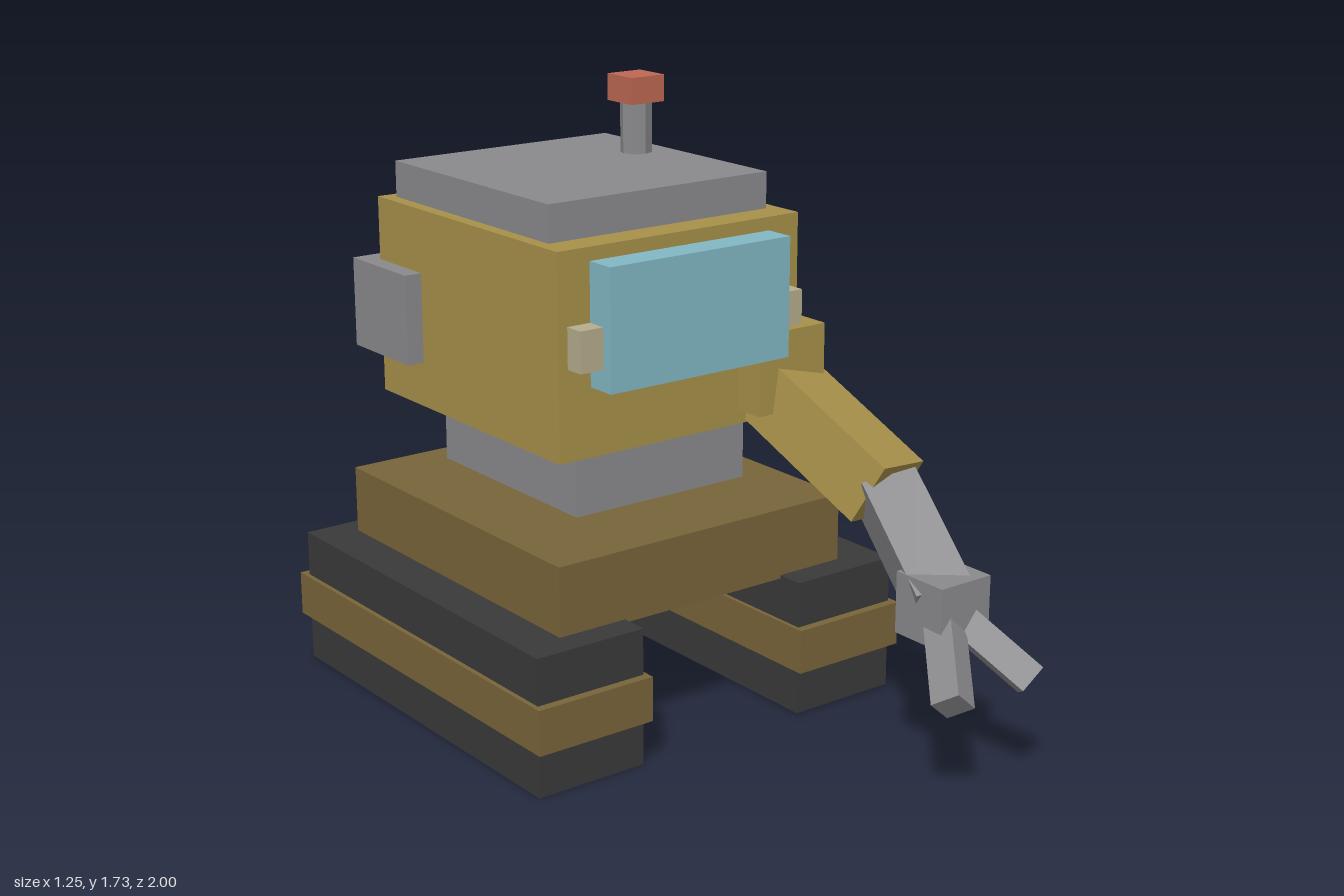
import * as THREE from 'three';

const mat = (color) => new THREE.MeshStandardMaterial({ color, flatShading: true });

export function createModel() {
  const model = new THREE.Group();
  const yellow = mat(0xa8904a), brown = mat(0x78643a), grey = mat(0x8a8a8d);
  const dark = mat(0x3a3a3a), glass = mat(0x82b8c4), lamp = mat(0xb5ad8c), red = mat(0xbd6852);

  const add = (name, geometry, material) => {
    const mesh = new THREE.Mesh(geometry, material);
    mesh.name = name;
    model.add(mesh);
    return mesh;
  };
  // Box given by its extents on each axis
  const box = (name, material, [x0, x1], [y0, y1], [z0, z1]) => {
    const mesh = add(name, new THREE.BoxGeometry(x1 - x0, y1 - y0, z1 - z0), material);
    mesh.position.set((x0 + x1) / 2, (y0 + y1) / 2, (z0 + z1) / 2);
  };
  // Mirrored pair of boxes
  const pair = (name, material, [x0, x1], y, z) => {
    box(name + 'Left', material, [x0, x1], y, z);
    box(name + 'Right', material, [-x1, -x0], y, z);
  };
  // Square beam between two points
  const beam = (name, material, from, to, size) => {
    const a = new THREE.Vector3(...from), b = new THREE.Vector3(...to);
    const dir = b.clone().sub(a);
    const mesh = add(name, new THREE.BoxGeometry(size, dir.length(), size), material);
    mesh.position.copy(a).add(b).multiplyScalar(0.5);
    mesh.quaternion.setFromUnitVectors(new THREE.Vector3(0, 1, 0), dir.normalize());
  };

  // Tracks and chassis
  pair('track', dark, [0.272, 0.613], [0, 0.395], [-0.97, 0.236]);
  pair('trackBand', brown, [0.26, 0.627], [0.133, 0.262], [-1, 0.262]);
  box('chassis', brown, [-0.485, 0.485], [0.385, 0.592], [-0.895, 0.155]);
  box('neck', grey, [-0.29, 0.29], [0.633, 0.813], [-0.697, -0.04]);

  // Cab
  box('cab', yellow, [-0.405, 0.405], [0.83, 1.403], [-0.842, 0.05]);
  box('roof', grey, [-0.367, 0.367], [1.403, 1.507], [-0.803, -0.042]);
  box('window', glass, [-0.302, 0.302], [1.025, 1.365], [0, 0.14]);
  pair('headlight', lamp, [0.27, 0.375], [1.085, 1.2], [0.02, 0.108]);
  box('rearPanel', brown, [-0.327, 0.327], [0.897, 1.34], [-0.935, -0.8]);
  pair('sidePod', grey, [0.325, 0.457], [0.96, 1.22], [-0.906, -0.62]);

  // Exhaust
  const pipe = add('exhaustPipe', new THREE.CylinderGeometry(0.046, 0.046, 0.17, 8), grey);
  pipe.position.set(0.258, 1.585, -0.5);
  box('exhaustCap', red, [0.2, 0.316], [1.655, 1.732], [-0.558, -0.442]);

  // Single arm on the left side
  const elbow = [0.395, 0.7, 0.453], hand = [0.313, 0.49, 0.763];
  box('shoulder', yellow, [0.2, 0.432], [0.87, 1.102], [-0.092, 0.14]);
  beam('upperArm', yellow, [0.322, 0.954, -0.016], elbow, 0.188);
  beam('forearm', grey, elbow, hand, 0.155);
  box('hand', grey, [0.227, 0.4], [0.404, 0.576], [0.677, 0.848]);
  for (const [name, x] of [['innerFinger', 0.163], ['outerFinger', 0.443]]) {
    beam(name, grey, hand, [x, 0.31, 0.966], 0.082);
  }
  return model;
}
